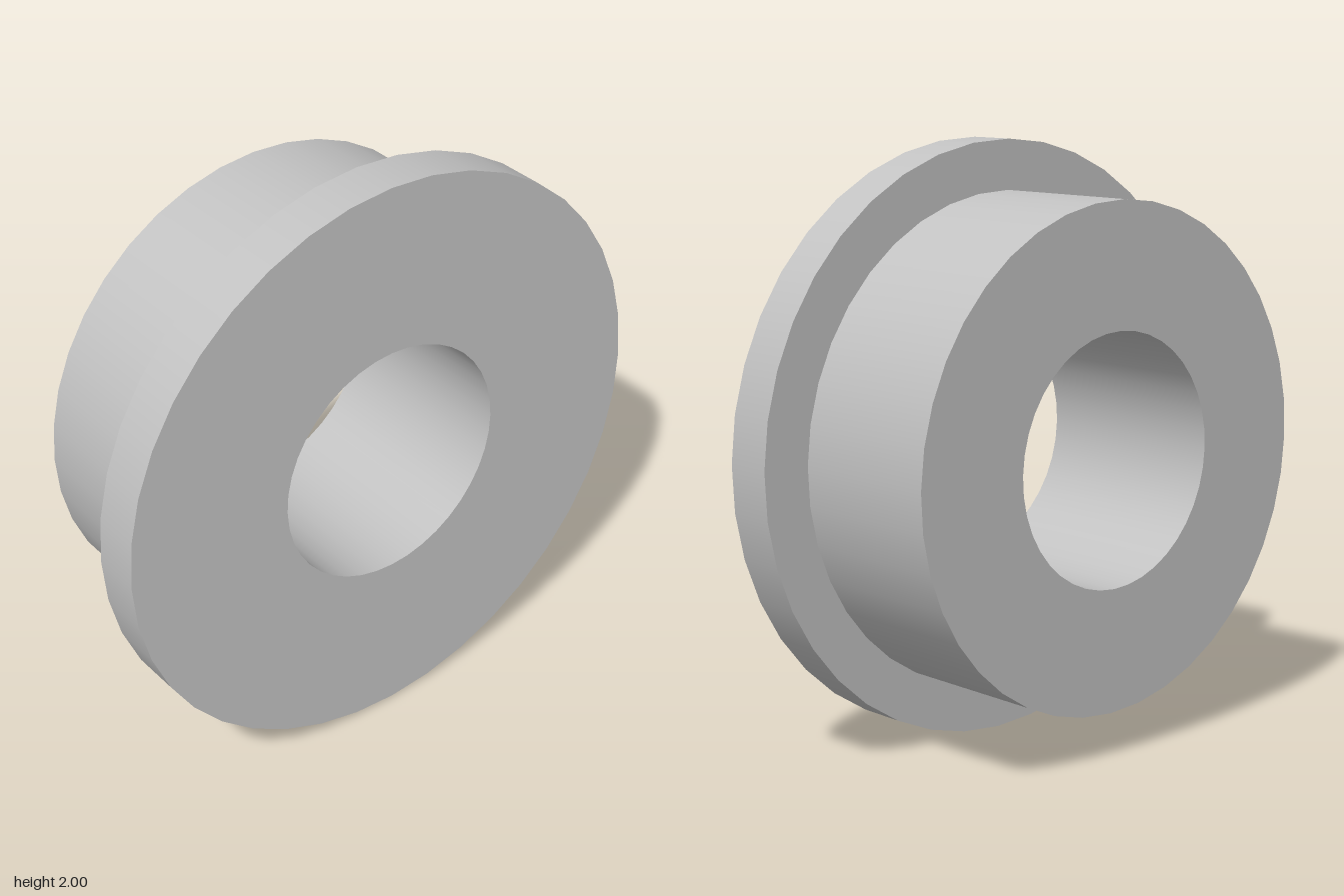
import * as THREE from 'three';
import { mergeGeometries } from 'three/addons/utils/BufferGeometryUtils.js';

const SEGMENTS = 40;
const BORE = 0.417, HUB = 0.83, FLANGE = 0.997;
const BACK = -0.694, STEP = -0.165, FRONT = 0; // positions along the axis
const TILT = 0.03;

// Revolve each profile edge separately so that the corners stay sharp.
function revolve(profile) {
  const bands = [];
  for (let i = 0; i < profile.length - 1; i++) {
    const edge = [profile[i], profile[i + 1]].map(([r, y]) => new THREE.Vector2(r, y));
    bands.push(new THREE.LatheGeometry(edge, SEGMENTS));
  }
  return mergeGeometries(bands);
}

export function createModel() {
  const model = new THREE.Group();
  model.name = 'flangedBushing';

  const grey = new THREE.MeshStandardMaterial({ color: 0xc2c2c2 });
  grey.name = 'plain grey';

  const bushing = new THREE.Group();
  bushing.name = 'bushing';
  const add = (name, profile) => {
    const mesh = new THREE.Mesh(revolve(profile), grey);
    mesh.name = name;
    bushing.add(mesh);
  };

  // Hub: rear ring face and outer wall
  add('hub', [[BORE, BACK], [HUB, BACK], [HUB, STEP]]);
  // Flange: shoulder, rim and front face
  add('flange', [[HUB, STEP], [FLANGE, STEP], [FLANGE, FRONT], [BORE, FRONT]]);
  // Through hole, facing inward
  add('bore', [[BORE, FRONT], [BORE, BACK]]);

  // Lay the axis along z, leaning slightly upward at the front
  bushing.rotation.x = Math.PI / 2 - TILT;
  bushing.position.set(0, 1.002, 0.345);
  model.add(bushing);
  return model;
}
